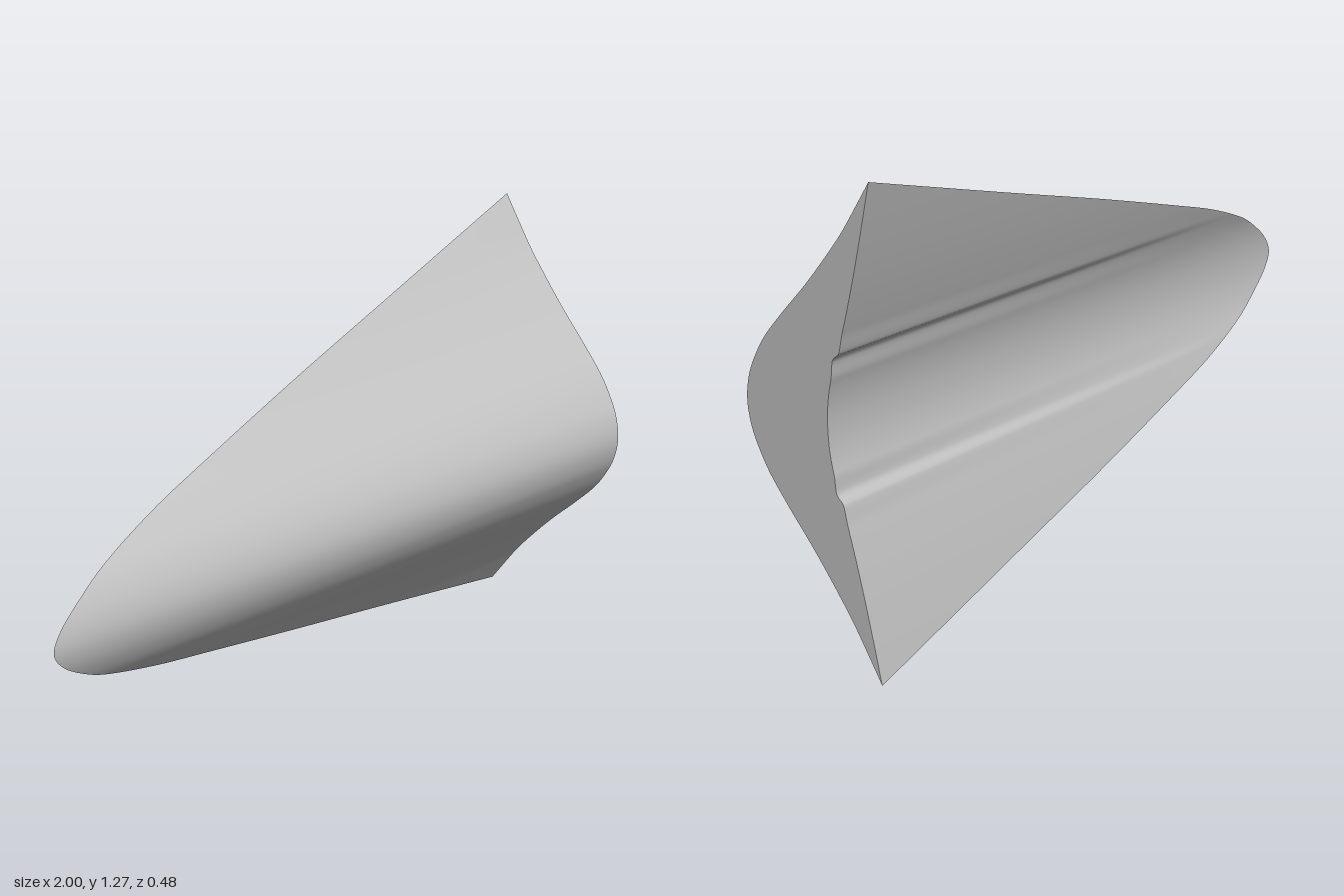
import * as THREE from 'three';

const HALF = 0.637;   // half span, also the height of the centre line
const SLOPE = 0.1175; // fall of the back surface along x

// Smooth curve through [h, value] points, even about h = 0
function profile(pts) {
  const slope = (i) => {
    if (i === 0) return 0;
    const a = pts[i - 1], b = pts[Math.min(i + 1, pts.length - 1)];
    return (b[1] - a[1]) / (b[0] - a[0]);
  };
  return (y) => {
    const h = Math.min(Math.abs(y), HALF);
    let i = 0;
    while (i < pts.length - 2 && h > pts[i + 1][0]) i++;
    const [x0, v0] = pts[i], [x1, v1] = pts[i + 1];
    const d = x1 - x0, t = (h - x0) / d, t2 = t * t, t3 = t2 * t;
    return v0 * (2 * t3 - 3 * t2 + 1) + v1 * (3 * t2 - 2 * t3)
      + d * (slope(i) * (t3 - 2 * t2 + t) + slope(i + 1) * (t3 - t2));
  };
}

// x of the leading edge, and the front and back outlines of the base
const edgeX = profile([[0, -1], [0.05, -0.972], [0.1, -0.905], [0.155, -0.8],
  [0.225, -0.6], [0.28, -0.4], [0.385, 0], [0.485, 0.4], [HALF, 1]]);
const frontZ = profile([[0, 0.241], [0.05, 0.234], [0.1, 0.215], [0.175, 0.167],
  [0.25, 0.097], [0.345, 0], [0.43, -0.079], [0.496, -0.136], [0.57, -0.191], [HALF, -0.239]]);
const backZ = profile([[0, -0.066], [0.06, -0.07], [0.12, -0.083], [0.19, -0.109],
  [0.26, -0.134], [0.38, -0.171], [0.5, -0.204], [HALF, -0.239]]);

// Small step beside the hollow of the back, fading towards the nose
function step(y) {
  const h = Math.abs(y);
  if (h < 0.12 || h > 0.25) return 0;
  if (h < 0.176) return 0.011 * THREE.MathUtils.smoothstep(h, 0.12, 0.176);
  if (h < 0.192) return 0.011 - 0.016 * (h - 0.176) / 0.016;
  return -0.005 * (1 - THREE.MathUtils.smoothstep(h, 0.192, 0.25));
}

// Surface points: s runs from the leading edge (0) to the base (1)
const xAt = (y, s) => THREE.MathUtils.lerp(edgeX(y), 1, s);
const sweep = (y, s) => backZ(y) + SLOPE * (1 - xAt(y, s));
const back = (y, s) => [xAt(y, s), y + HALF, sweep(y, s) + step(y) * s];
const front = (y, s) => [xAt(y, s), y + HALF,
  sweep(y, s) + (frontZ(y) - backZ(y)) * s * (1 + 0.04 * (1 - s))];
const base = (y, s) => [1, y + HALF, THREE.MathUtils.lerp(backZ(y) + step(y), frontZ(y), s)];

function grid(point, nu, nv, flip) {
  const pos = [], idx = [];
  for (let i = 0; i <= nu; i++) {
    for (let j = 0; j <= nv; j++) pos.push(...point(HALF * (2 * i / nu - 1), j / nv));
  }
  for (let i = 0; i < nu; i++) {
    for (let j = 0; j < nv; j++) {
      const a = i * (nv + 1) + j, b = a + 1, c = a + nv + 1, d = c + 1;
      if (flip) idx.push(a, c, b, b, c, d);
      else idx.push(a, b, c, b, d, c);
    }
  }
  const geo = new THREE.BufferGeometry();
  geo.setAttribute('position', new THREE.Float32BufferAttribute(pos, 3));
  geo.setIndex(idx);
  geo.computeVertexNormals();
  return geo;
}

export function createModel() {
  const group = new THREE.Group();
  group.name = 'gliderHull';
  const grey = new THREE.MeshStandardMaterial({ color: 0xc0c0c0, side: THREE.DoubleSide });
  grey.name = 'light grey';
  const add = (name, geo) => {
    const mesh = new THREE.Mesh(geo, grey);
    mesh.name = name;
    group.add(mesh);
  };
  add('frontSurface', grid(front, 200, 40, false));
  add('backSurface', grid(back, 200, 40, true));
  add('basePlate', grid(base, 200, 1, true));
  return group;
}
